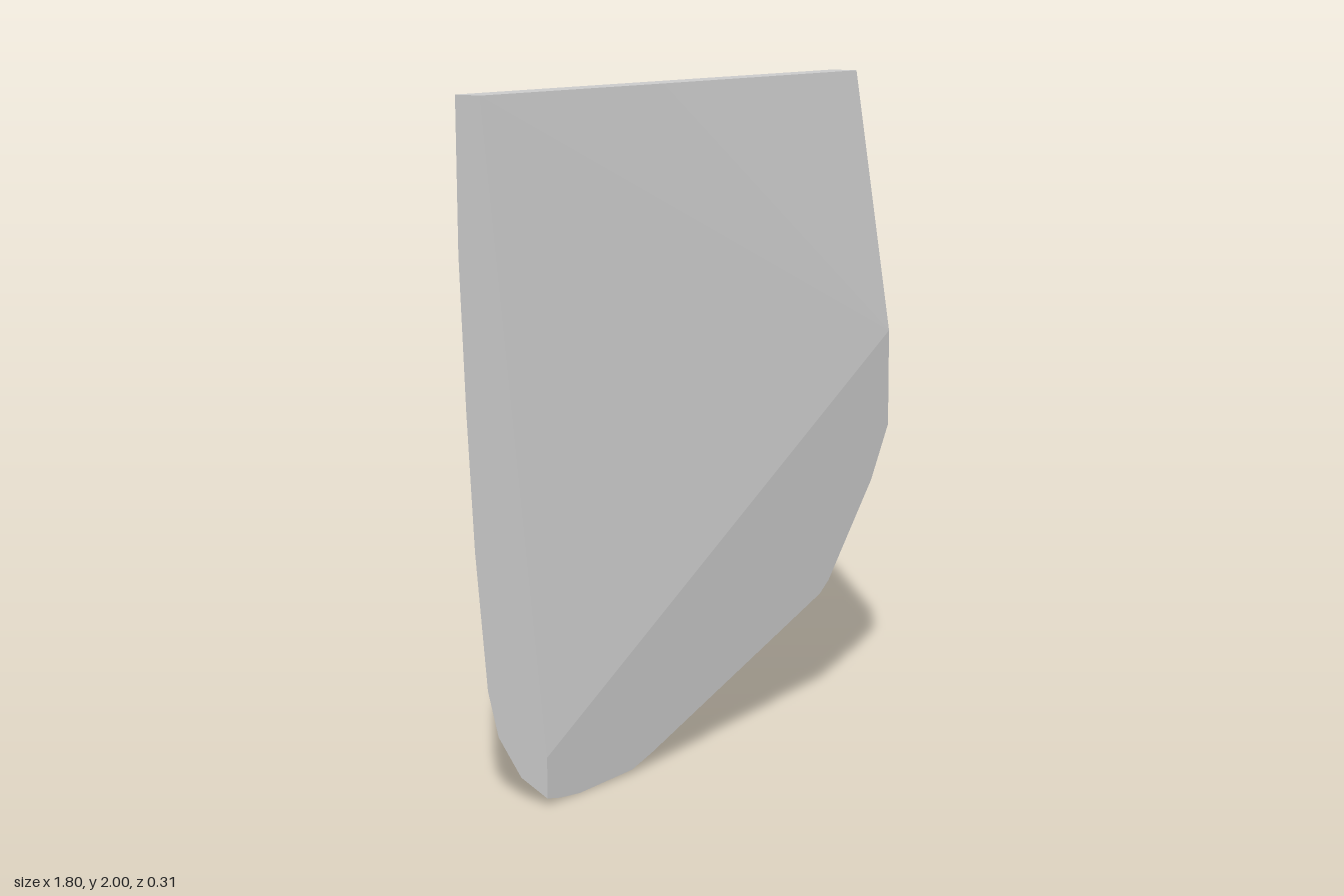
import * as THREE from 'three';
import { ConvexGeometry } from 'three/addons/geometries/ConvexGeometry.js';

const FRONT = 0.155;

export function createModel() {
  const group = new THREE.Group();
  group.name = 'slabShard';

  // Flat lower front face: chipped outline below, slanted crease above
  const frontOutline = [
    [-0.9, 0.14], [-0.9, 0.02], [-0.84, 0.008], [-0.75, 0], [-0.5, 0.01], [-0.4, 0.04],
    [0.5, 0.355], [0.55, 0.39], [0.61, 0.46], [0.8, 0.68], [0.9, 0.85], [0.9, 1.16],
  ].map(([x, y]) => [x, y, FRONT]);

  // Top edge: front line, then back line
  const topEdge = [
    [-0.9, 2, -0.065], [-0.1, 2, -0.021], [0.9, 2, 0.02],
    [-0.9, 2, -0.155], [0.9, 2, -0.072],
  ];

  // Back edge of the tall side, curving forward toward the foot
  const tallSide = [
    [1.55, -0.15], [1.1, -0.128], [0.7, -0.102], [0.3, -0.06], [0.17, -0.022], [0.065, 0.06],
  ].map(([y, z]) => [-0.9, y, z]);

  // Short side and the worn corners of the back
  const backCorners = [
    [0.9, 1.14, -0.02], [0.79, 1.64, -0.083], [0.78, 1.13, -0.063], [0.63, 0.52, 0.07],
    [-0.63, 0.34, -0.055], [-0.66, 0.17, -0.018], [-0.7, 0.065, 0.055], [-0.5, 0.09, 0.06],
  ];

  const points = [...frontOutline, ...topEdge, ...tallSide, ...backCorners]
    .map((p) => new THREE.Vector3(...p));
  const slab = new THREE.Mesh(
    new ConvexGeometry(points),
    new THREE.MeshStandardMaterial({ color: 0xcccccc, flatShading: true }),
  );
  slab.name = 'slab';
  group.add(slab);
  return group;
}
